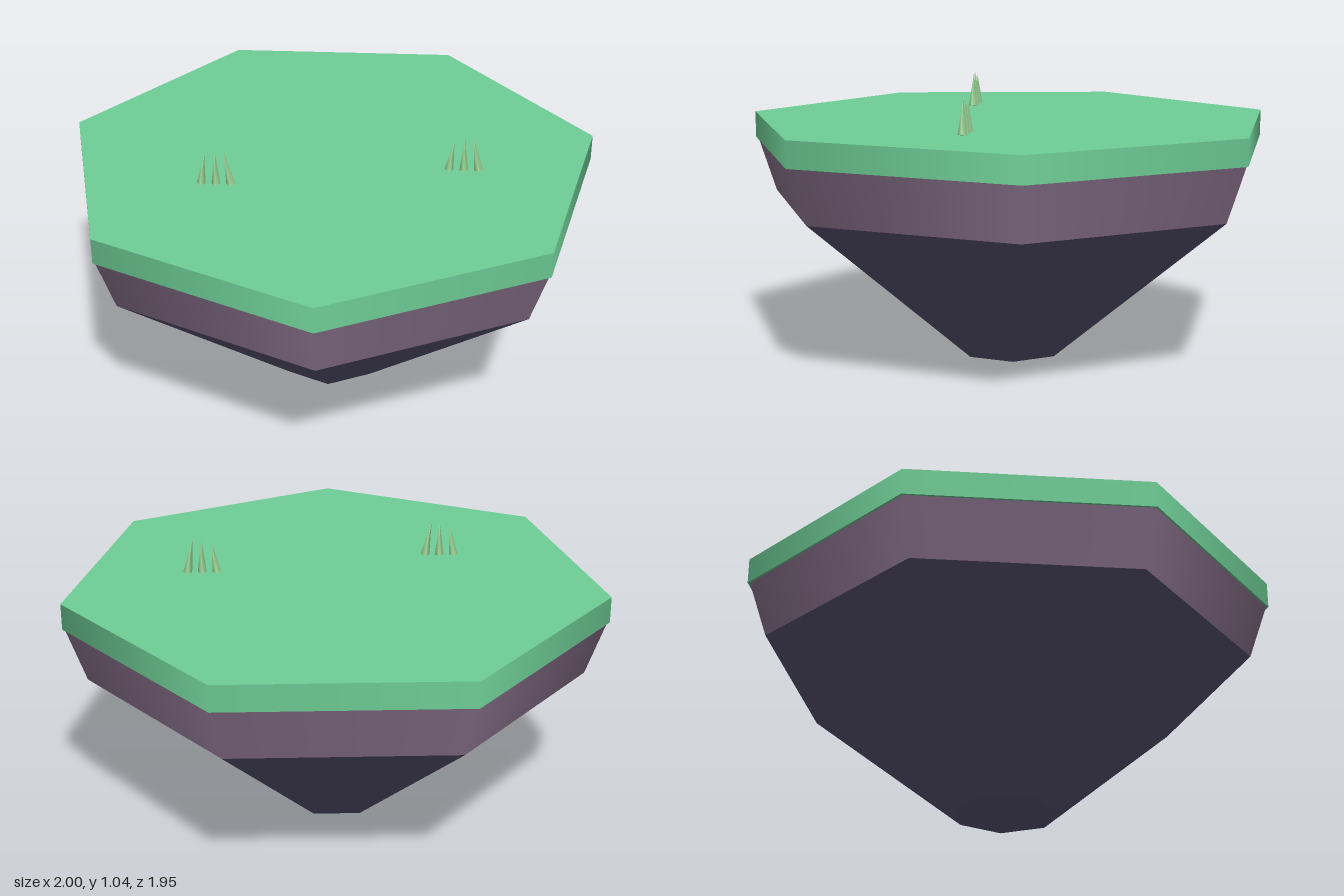
import * as THREE from 'three';

const SIDES = 7;
const CENTER_Z = -0.05; // puts the heptagon's bounding box on the origin

// One heptagonal layer between two heights
function layer(name, rTop, rBottom, y0, y1, color) {
  const mesh = new THREE.Mesh(
    new THREE.CylinderGeometry(rTop, rBottom, y1 - y0, SIDES),
    new THREE.MeshStandardMaterial({ color })
  );
  mesh.name = name;
  mesh.position.set(0, (y0 + y1) / 2, CENTER_Z);
  return mesh;
}

// Three thin blades, the outer two leaning inwards
function grassTuft(name, x, z, groundY, material) {
  const tuft = new THREE.Group();
  tuft.name = name;
  tuft.position.set(x, groundY, z);
  const blades = [[-0.055, 0.115, -0.14], [0, 0.13, 0], [0.055, 0.136, 0.17]];
  for (const [dx, height, lean] of blades) {
    const geometry = new THREE.ConeGeometry(0.017, height, 4).translate(0, height / 2, 0);
    const blade = new THREE.Mesh(geometry, material);
    blade.name = 'grassBlade';
    blade.position.x = dx;
    blade.rotation.z = lean;
    tuft.add(blade);
  }
  return tuft;
}

export function createModel() {
  const model = new THREE.Group();
  model.name = 'floatingIsland';

  // Island body, bottom to top
  model.add(layer('rockBase', 0.945, 0.205, 0, 0.6, 0x5a5475));
  model.add(layer('soilLayer', 1.017, 0.945, 0.6, 0.81, 0x8d7590));
  model.add(layer('grassTop', 1.026, 1.026, 0.81, 0.91, 0x6fcf97));

  // Grass tufts
  const bladeMaterial = new THREE.MeshStandardMaterial({ color: 0xa0dc9c });
  model.add(grassTuft('leftGrassTuft', 0.5, 0.02, 0.91, bladeMaterial));
  model.add(grassTuft('rightGrassTuft', -0.41, 0.175, 0.91, bladeMaterial));
  return model;
}
